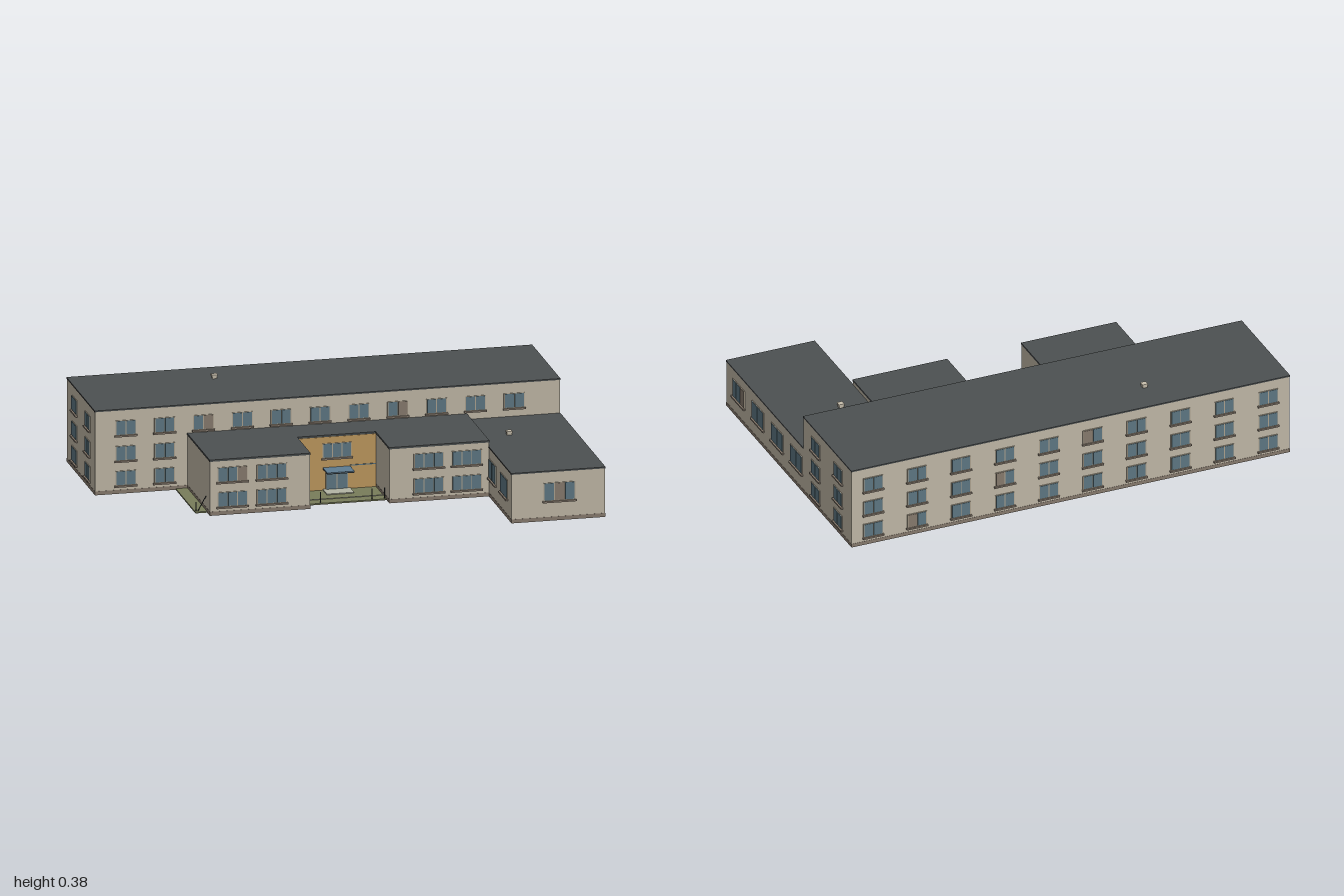
import * as THREE from 'three';

const mat = (name, color) => Object.assign(new THREE.MeshStandardMaterial({ color }), { name });

export function createModel() {
  const M = {
    wall: mat('beige render', 0xc9c0ae),
    roof: mat('dark roofing', 0x4d5152),
    plinth: mat('brown stone', 0x8d8073),
    accent: mat('ochre render', 0xc79f62),
    glass: mat('blue-grey glass', 0x627d89),
    canopy: mat('blue canopy', 0x5f7d93),
    frame: mat('window frame', 0xb5aa96),
    grass: mat('green ground', 0x797d5b),
    metal: mat('dark metal', 0x3a3f41),
    paving: mat('pale paving', 0xb4b6a5),
  };
  const model = new THREE.Group();
  model.name = 'building';

  // Box given by its minimum and maximum on each axis
  function block(name, m, x0, x1, y0, y1, z0, z1, parent = model) {
    const mesh = new THREE.Mesh(new THREE.BoxGeometry(x1 - x0, y1 - y0, z1 - z0), m);
    mesh.position.set((x0 + x1) / 2, (y0 + y1) / 2, (z0 + z1) / 2);
    mesh.name = name;
    parent.add(mesh);
    return mesh;
  }

  // Volume with walls, a plinth band around them and a thin flat roof
  function volume(name, x0, x1, z0, z1, h, edge = 0.006, base = 0.002) {
    const g = new THREE.Group();
    g.name = name;
    model.add(g);
    block('plinth', M.plinth, x0 - 0.001, x1 + 0.001, base, 0.018, z0 - 0.001, z1 + 0.001, g);
    block('walls', M.wall, x0, x1, 0.003 - base, h - edge, z0, z1, g);
    block('roof', M.roof, x0 - 0.002, x1 + 0.002, h - edge, h, z0 - 0.002, z1 + 0.002, g);
  }

  // Window facing +z before turning; blind is the index of a covered pane
  function windowAt(x, y, z, turn, w, h, panes = 2, blind = -1) {
    const g = new THREE.Group();
    g.name = 'window';
    g.position.set(x, y, z);
    g.rotation.y = turn;
    model.add(g);
    block('frame', M.frame, -w / 2 - 0.002, w / 2 + 0.002, -h / 2 - 0.003, h / 2 + 0.002, -0.004, 0.003, g);
    const step = w / panes;
    for (let i = 0; i < panes; i++) {
      const a = -w / 2 + i * step;
      block('pane', i === blind ? M.plinth : M.glass, a + 0.002, a + step - 0.002, -h / 2, h / 2, 0.002, 0.005, g);
    }
    block('sill', M.plinth, -w / 2 - 0.006, w / 2 + 0.006, -h / 2 - 0.01, -h / 2 - 0.003, -0.004, 0.01, g);
  }

  const X0 = -0.988, X1 = 0.987, BACK = -0.645, MID = -0.15;
  const rows = [0.069, 0.176, 0.286];
  const H = 0.058, W = 0.084, right = Math.PI / 2, left = -right;

  volume('mainBlock', X0, X1, BACK, MID, 0.366);
  volume('linkBlock', -0.17, 0.167, MID, 0.01, 0.242, 0.008);
  volume('leftFrontBlock', -0.595, -0.17, MID, 0.245, 0.242, 0.008, 0.001);
  volume('rightFrontBlock', 0.167, 0.59, MID, 0.245, 0.242, 0.008);
  volume('sideWing', 0.59, X1, MID, 0.643, 0.217);

  // Main block: back and end windows
  rows.forEach((y, r) => {
    for (let i = 0; i < 10; i++) {
      const blind = (i * 7 + r * 5) % 9 === 2 ? i % 2 : -1;
      windowAt(-0.891 + i * 0.198, y, BACK, Math.PI, W, H, 2, blind);
    }
    for (const z of [-0.278, -0.509]) {
      windowAt(X1, y, z, right, W, H);
      windowAt(X0, y, z, left, W, H);
    }
  });

  // Main block: front windows above the lower roofs and at the free end
  for (let i = 0; i < 11; i++) {
    windowAt(-0.858 + i * 0.165, rows[2], MID, 0, W, H, 2, i === 2 || i === 7 ? 1 : -1);
  }
  for (const x of [-0.858, -0.693]) {
    for (const y of rows.slice(0, 2)) windowAt(x, y, MID, 0, W, H);
  }

  // Front blocks: wide windows on two floors
  [-0.5, -0.333, 0.334, 0.495].forEach((x, i) => {
    windowAt(x, rows[0], 0.245, 0, 0.124, H, 3);
    windowAt(x, rows[1], 0.245, 0, 0.124, H, 3, i === 0 ? 2 : -1);
  });

  // Side wing windows
  [0.514, 0.315, 0.115, -0.081].forEach((z, i) => {
    windowAt(X1, 0.127, z, right, 0.118, 0.077, i ? 2 : 3, i ? -1 : 2);
    if (i < 2) windowAt(0.59, 0.127, z, left, 0.118, 0.077);
  });
  windowAt(0.793, 0.127, 0.643, 0, 0.132, 0.073, 3, 1);

  // Entrance: coloured wall, window, door, canopy and step
  block('entranceWall', M.accent, -0.169, 0.166, 0.006, 0.234, 0.009, 0.014);
  windowAt(0, rows[1], 0.014, 0, 0.12, H, 3);
  block('doorFrame', M.frame, -0.048, 0.046, 0.006, 0.088, 0.013, 0.017);
  for (const x of [-0.046, 0.001]) block('doorLeaf', M.glass, x, x + 0.043, 0.008, 0.086, 0.016, 0.02);
  block('canopyEdge', M.metal, -0.06, 0.056, 0.096, 0.1, 0.014, 0.092);
  block('canopyTop', M.canopy, -0.06, 0.056, 0.1, 0.103, 0.014, 0.092);
  block('wallRail', M.glass, 0.056, 0.166, 0.104, 0.108, 0.013, 0.017);
  block('step', M.paving, -0.06, 0.056, 0.004, 0.01, 0.014, 0.085);

  // Ground in the courtyard, under the right front block and beside the left one
  block('courtyardGround', M.grass, -0.17, 0.167, 0, 0.006, 0.01, 0.195);
  block('groundUnderBlock', M.grass, 0.167, 0.59, 0, 0.004, 0.1, 0.195);
  block('sideGround', M.grass, -0.645, -0.595, 0, 0.006, MID, 0.195);
  block('pathEdge', M.paving, -0.169, 0.166, 0.004, 0.008, 0.138, 0.143);

  // Railing posts, and a brace beside the left front block
  for (const x of [-0.112, 0.107, 0.16]) {
    block('railPost', M.metal, x - 0.0015, x + 0.0015, 0.004, 0.052, 0.186, 0.189);
  }
  block('sideRailPost', M.metal, -0.641, -0.638, 0.004, 0.045, 0.18, 0.183);
  const brace = block('sideBrace', M.metal, -0.0015, 0.0015, -0.036, 0.036, -0.0015, 0.0015);
  brace.position.set(-0.614, 0.036, 0.18);
  brace.rotation.z = -0.5;

  // Roof vents
  for (const [x, y, z] of [[-0.4, 0.366, -0.49], [0.71, 0.217, 0.1]]) {
    block('ventPipe', M.wall, x - 0.01, x + 0.01, y, y + 0.011, z - 0.01, z + 0.01);
    block('ventCap', M.wall, x - 0.012, x + 0.012, y + 0.009, y + 0.017, z - 0.012, z + 0.012);
  }
  return model;
}
